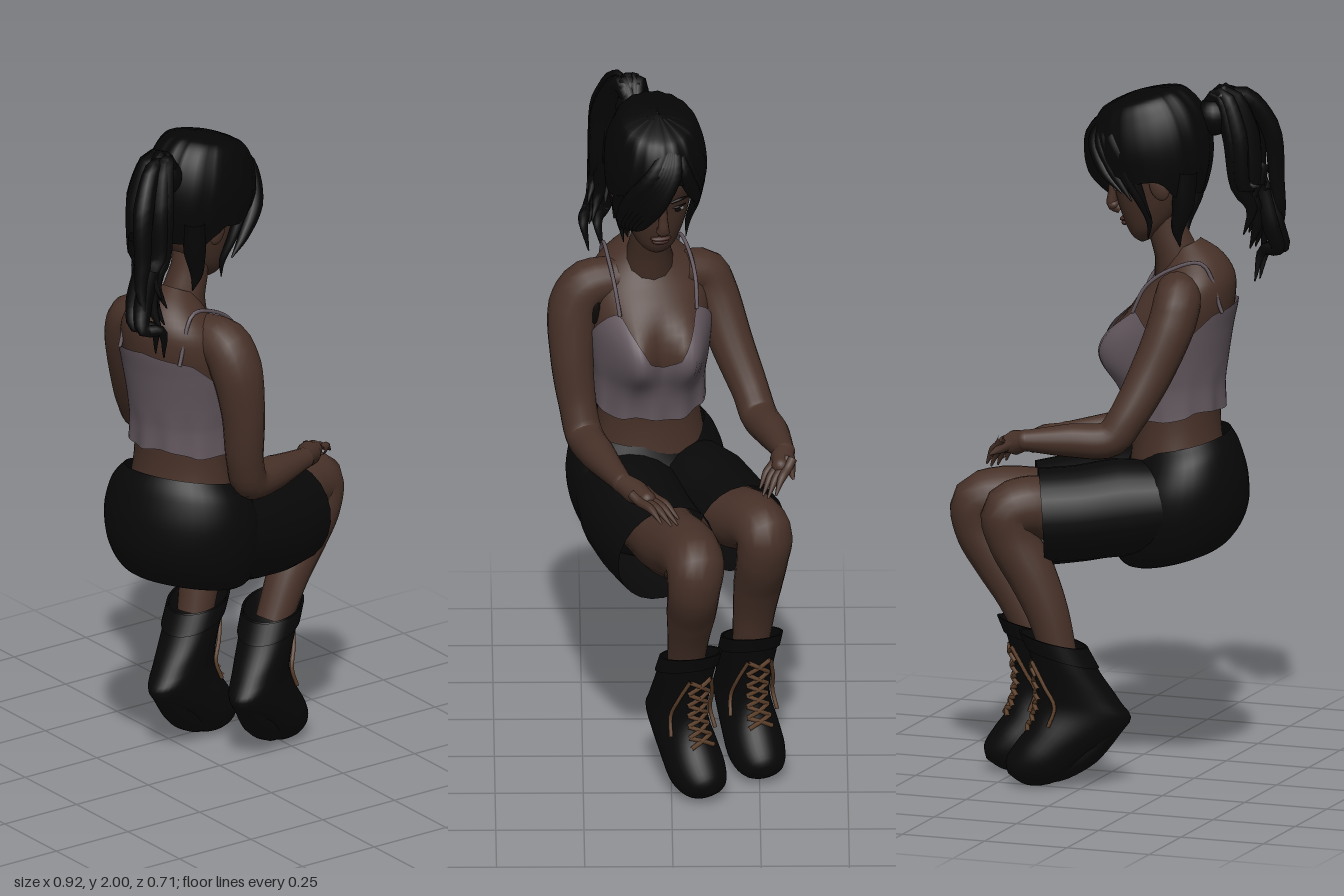
import * as THREE from 'three';

const V = (p) => new THREE.Vector3(...p);
const mat = (name, color, side = THREE.FrontSide) => {
  const m = new THREE.MeshStandardMaterial({ color, side });
  m.name = name;
  return m;
};
const put = (parent, name, geo, material) => {
  const m = new THREE.Mesh(geo, material);
  m.name = name;
  parent.add(m);
  return m;
};
const group = (parent, name, x, y, z, yaw = 0, pitch = 0) => {
  const g = new THREE.Group();
  g.name = name;
  g.position.set(x, y, z);
  g.rotation.set(0, yaw, pitch, 'YXZ');
  parent.add(g);
  return g;
};

// piecewise-linear lookup through [x, y] pairs
const lerpTable = (table, x) => {
  for (let i = 1; i < table.length; i++) {
    const [x0, y0] = table[i - 1], [x1, y1] = table[i];
    if (x <= x1) return y0 + (y1 - y0) * (x - x0) / (x1 - x0);
  }
  return table[table.length - 1][1];
};

// point on a stack of elliptical rings [backX, backY, frontX, frontY, halfWidth]
function ringPoint(rings, v, t, grow = 0, bump = null) {
  const n = rings.length - 1, i = Math.min(Math.floor(v), n - 1), f = v - i;
  const at = (k) => rings[Math.max(0, Math.min(n, k))];
  const r = [0, 1, 2, 3, 4].map((k) => {
    const a = at(i - 1)[k], b = at(i)[k], c = at(i + 1)[k], d = at(i + 2)[k];
    return b + 0.5 * f * (c - a + f * (2 * a - 5 * b + 4 * c - d + f * (3 * (b - c) + d - a)));
  });
  const hx = (r[2] - r[0]) / 2, hy = (r[3] - r[1]) / 2, len = Math.hypot(hx, hy) || 1;
  const s = Math.cos(t) * (1 + grow / len), extra = bump ? bump(v, t) : 0;
  return [(r[0] + r[2]) / 2 + hx * s + extra, (r[1] + r[3]) / 2 + hy * s, (r[4] + grow) * Math.sin(t)];
}

// skin over a ring stack between heights lo(t) and hi(t)
function loft(rings, { lo = () => 0, hi = () => rings.length - 1, grow = () => 0, bump = null, nt = 40, nv = 28 } = {}) {
  const pos = [], idx = [];
  for (let j = 0; j <= nv; j++) for (let i = 0; i < nt; i++) {
    const t = (i / nt) * Math.PI * 2, a = t > Math.PI ? t - Math.PI * 2 : t;
    const v = lo(a) + (hi(a) - lo(a)) * j / nv;
    pos.push(...ringPoint(rings, v, a, grow(v), bump));
    if (j < nv) {
      const p = j * nt + i, q = j * nt + (i + 1) % nt;
      idx.push(p, p + nt, q, q, p + nt, q + nt);
    }
  }
  const g = new THREE.BufferGeometry();
  g.setAttribute('position', new THREE.Float32BufferAttribute(pos, 3));
  g.setIndex(idx);
  g.computeVertexNormals();
  return g;
}

// tube whose radius follows the points [x, y, z, radius]
function taper(pts, segs = 24, sides = 14) {
  const curve = new THREE.CatmullRomCurve3(pts.map((p) => V(p.slice(0, 3))));
  const g = new THREE.TubeGeometry(curve, segs, 1, sides);
  const table = pts.map((p, i) => [i / (pts.length - 1), p[3]]);
  const { position: P, normal: N } = g.attributes;
  for (let i = 0; i < P.count; i++) {
    const u = Math.floor(i / (sides + 1)) / segs;
    const k = lerpTable(table, curve.getUtoTmapping(u)) - 1;
    P.setXYZ(i, P.getX(i) + N.getX(i) * k, P.getY(i) + N.getY(i) * k, P.getZ(i) + N.getZ(i) * k);
  }
  return g;
}
const ball = (p, rx, ry = rx, rz = rx) => new THREE.SphereGeometry(1, 20, 14).scale(rx, ry, rz).translate(...p);

export function createModel() {
  const model = new THREE.Group();
  model.name = 'seatedFigure';
  const skin = mat('skin', 0x473128), hair = mat('hair', 0x050506, THREE.DoubleSide);
  const cloth = mat('camisoleFabric', 0x62575e, THREE.DoubleSide), shortsMat = mat('shortsFabric', 0x080809, THREE.DoubleSide);
  const leather = mat('bootLeather', 0x080707, THREE.DoubleSide), lace = mat('lace', 0x5e412c);
  const lip = mat('lips', 0x40241f), white = mat('eyeWhite', 0x7a716c), dark = mat('darkDetail', 0x0c0807);

  // torso and camisole
  const torso = group(model, 'torso', -0.17, 0, 0.06, 0.24);
  const body = [
    [-0.15, 0.88, 0.13, 0.88, 0.17], [-0.13, 1.0, 0.12, 1.0, 0.148], [-0.13, 1.1, 0.13, 1.1, 0.148],
    [-0.14, 1.2, 0.15, 1.2, 0.16], [-0.155, 1.3, 0.142, 1.3, 0.172], [-0.17, 1.38, 0.112, 1.37, 0.172],
    [-0.168, 1.45, 0.07, 1.42, 0.15], [-0.13, 1.51, 0.04, 1.465, 0.1], [-0.07, 1.55, 0.02, 1.51, 0.05]];
  const bust = (v, t) => 0.068 * Math.exp(-(((Math.abs(t) - 0.5) / 0.38) ** 2) - ((v - 3.3) / 0.95) ** 2);
  put(torso, 'bareTorso', loft(body, { bump: bust, nt: 56 }), skin);
  const neckline = [[0, 3.1], [0.25, 3.3], [0.5, 4.1], [0.65, 4.8], [0.85, 4.6], [1.4, 3.7], [1.8, 3.7], [2.3, 4.7], [3.2, 5.0]];
  put(torso, 'camisole', loft(body, {
    lo: (t) => 1.5 - 0.22 * Math.cos(t) + 0.06 * Math.sin(5 * t), hi: (t) => lerpTable(neckline, Math.abs(t)),
    grow: (v) => 0.01 + 0.008 * Math.max(0, 2.4 - v),
    bump: (v, t) => bust(v, t) + 0.004 * Math.sin(11 * t) * Math.max(0, 3 - v), nt: 72 }), cloth);
  for (const s of [1, -1]) {
    const a = ringPoint(body, 4.7, 0.65 * s, 0.012, bust), b = ringPoint(body, 4.7, 2.5 * s, 0.012);
    put(torso, 'shoulderStrap', taper([[...a, 0.006], [0.07, 1.43, s * 0.118, 0.006], [0, 1.48, s * 0.118, 0.006],
      [-0.09, 1.497, s * 0.112, 0.006], [...b, 0.006]], 24, 6), cloth);
  }
  put(model, 'armpitPatch', ball([-0.1, 1.35, 0.215], 0.016, 0.048, 0.018), dark);
  put(model, 'neck', taper([[-0.19, 1.44, 0.065, 0.085], [-0.17, 1.51, 0.06, 0.062], [-0.145, 1.58, 0.055, 0.054], [-0.12, 1.7, 0.05, 0.06]]), skin);

  // head and face
  const head = group(model, 'head', -0.11, 1.76, 0.045, 0.2, -0.3);
  const skull = [
    [0.06, -0.2, 0.1, -0.205, 0.022], [-0.01, -0.165, 0.122, -0.175, 0.06], [-0.08, -0.1, 0.13, -0.1, 0.09],
    [-0.13, -0.02, 0.128, -0.02, 0.108], [-0.15, 0.06, 0.135, 0.06, 0.115], [-0.14, 0.13, 0.11, 0.13, 0.1],
    [-0.1, 0.18, 0.06, 0.18, 0.07], [-0.02, 0.2, -0.019, 0.2, 0.001]];
  put(head, 'face', loft(skull), skin);
  put(head, 'noseBridge', taper([[0.122, 0, 0, 0.01], [0.138, -0.045, 0, 0.013], [0.148, -0.08, 0, 0.018], [0.13, -0.1, 0, 0.014]], 14, 10), skin);
  put(head, 'noseTip', ball([0.146, -0.082, 0], 0.018, 0.015, 0.02), skin);
  put(head, 'upperLip', ball([0.128, -0.126, 0], 0.012, 0.007, 0.03), lip);
  put(head, 'lowerLip', ball([0.127, -0.138, 0], 0.012, 0.009, 0.025), lip);
  for (const s of [1, -1]) {
    put(head, 'eyeWhite', ball([0.113, -0.03, s * 0.046], 0.008, 0.008, 0.019), white);
    put(head, 'iris', ball([0.119, -0.03, s * 0.045], 0.004, 0.008, 0.009), dark);
    put(head, 'upperLash', taper([[0.12, -0.024, s * 0.022, 0.002], [0.122, -0.018, s * 0.045, 0.004], [0.103, -0.024, s * 0.07, 0.002]], 10, 6), dark);
    put(head, 'eyebrow', taper([[0.13, 0.006, s * 0.02, 0.003], [0.126, 0.014, s * 0.048, 0.005], [0.104, 0.005, s * 0.078, 0.002]], 10, 6), dark);
    put(head, 'ear', ball([-0.02, -0.05, s * 0.108], 0.028, 0.042, 0.014), skin);
  }

  // swept hair, fringe and loose locks
  const hairline = [[0, 4.5], [0.5, 4.2], [0.95, 3.4], [1.3, 3.0], [1.7, 2.9], [2.1, 2.2], [3.2, 1.9]];
  const cap = put(head, 'hairCap', loft(skull, {
    lo: (t) => lerpTable(hairline, Math.abs(t)), grow: (v) => 0.03 * Math.min(1, 7 - v),
    bump: (v, t) => 0.003 * Math.sin(18 * t) - 0.008 * Math.max(0, -Math.cos(t)), nt: 72 }), hair);
  cap.scale.y = 1.09;
  const lock = (name, pts, parent = head) => put(parent, name, taper(pts, 20, 8), hair);
  for (let i = 0; i < 6; i++) {
    const k = i / 5;
    lock('fringe', [[0.05, 0.19, -0.03, 0.015], [0.135, 0.13, -0.02 + 0.05 * k, 0.027], [0.17 - 0.04 * k, 0.03, 0.03 + 0.065 * k, 0.026],
      [0.155 - 0.06 * k, -0.045 - 0.02 * k, 0.065 + 0.045 * k, 0.016], [0.14 - 0.07 * k, -0.08 - 0.05 * k, 0.078 + 0.027 * k, 0.002]]);
  }
  for (let i = 0; i < 4; i++)
    lock('leftFringe', [[0.05, 0.19, -0.03, 0.015], [0.125 - 0.02 * i, 0.12, -0.05 - 0.015 * i, 0.025], [0.12 - 0.025 * i, 0.03, -0.088 - 0.01 * i, 0.02], [0.09 - 0.02 * i, -0.04 - 0.03 * i, -0.108, 0.002]]);
  for (const s of [1, -1]) {
    lock('templeLock', [[0.06, 0.02, s * 0.115, 0.018], [0.045, -0.07, s * 0.112, 0.014], [0.04, -0.14, s * 0.098, 0.009], [0.06, -0.19, s * 0.09, 0.001]]);
    lock('napeLock', [[-0.1, -0.03, s * 0.085, 0.035], [-0.065, -0.12, s * 0.08, 0.032], [-0.025, -0.19, s * 0.07, 0.018], [-0.015, -0.24, s * 0.06, 0.001]]);
  }

  // ponytail of wavy strands
  const tail = group(model, 'ponytail', 0, 0, 0);
  put(tail, 'hairTie', ball([-0.27, 1.9, 0.1], 0.055, 0.055, 0.055), hair);
  let seed = 7;
  const rnd = () => (seed = (seed * 16807) % 2147483647) / 2147483647 - 0.5;
  for (let i = 0; i < 14; i++) {
    const x = rnd() * 0.08, z = rnd() * 0.13, end = 1.5 + (rnd() + 0.4) * 0.22;
    lock('strand', [[-0.23, 1.89, 0.095, 0.02], [-0.31 + x * 0.6, 1.968 + rnd() * 0.02, 0.12 + z * 0.5, 0.022], [-0.365 + x, 1.86, 0.14 + z, 0.03],
      [-0.38 + x, 1.7, 0.155 + z, 0.023], [-0.4 + x * 0.7, end + 0.08, 0.17 + z * 0.8, 0.018], [-0.385 + x, end, 0.18 + z, 0.002]], tail);
  }
  for (const z of [0.17, 0.21])
    lock('curledTip', [[-0.39, 1.68, z, 0.025], [-0.42, 1.57, z, 0.026], [-0.43, 1.51, z + 0.02, 0.02], [-0.38, 1.5, z + 0.035, 0.016], [-0.36, 1.41, z + 0.02, 0.002]], tail);

  // arms and hands
  const arm = (name, pts, wrist, knuckle, tip) => {
    const g = group(model, name, 0, 0, 0);
    put(g, 'arm', taper([...pts, [...wrist, 0.03]], 40, 18), skin);
    put(g, 'wrist', ball(wrist, 0.031), skin);
    put(g, 'palm', taper([[...wrist, 0.029], [...V(wrist).lerp(V(knuckle), 0.55).toArray(), 0.036], [...knuckle, 0.025]], 12), skin);
    put(g, 'knuckles', ball(knuckle, 0.026), skin);
    const dir = V(tip).sub(V(knuckle)), side = dir.clone().cross(V([0, 1, 0])).normalize();
    for (let i = 0; i < 4; i++) {
      const off = side.clone().multiplyScalar((i - 1.5) * 0.017), k = V(knuckle).add(off);
      const e = k.clone().addScaledVector(dir, [0.85, 1, 0.97, 0.8][i]).addScaledVector(off, 0.2);
      const m = k.clone().lerp(e, 0.5).add(V([0, 0.012, 0]));
      const root = k.clone().addScaledVector(dir, -0.3);
      put(g, 'finger', taper([[...root, 0.014], [...k, 0.014], [...m, 0.012], [...e, 0.003]], 14, 8), skin);
    }
    const w = V(wrist), n = V(knuckle);
    const t = [0.3, 0.8, 1.15].map((f, i) => w.clone().lerp(n, f).addScaledVector(side, -0.02 - 0.014 * i).add(V([0, -0.012 * i, 0])));
    put(g, 'thumb', taper([[...t[0], 0.018], [...t[1], 0.014], [...t[2], 0.003]], 12, 8), skin);
  };
  arm('rightArm', [[-0.17, 1.415, 0.15, 0.06], [-0.15, 1.4, 0.235, 0.074], [-0.14, 1.34, 0.272, 0.075], [-0.12, 1.2, 0.28, 0.062],
    [-0.1, 1.04, 0.262, 0.053], [-0.07, 0.97, 0.245, 0.054], [0.04, 0.955, 0.205, 0.05]], [0.19, 0.94, 0.14], [0.275, 0.925, 0.07], [0.36, 0.88, -0.01]);
  arm('leftArm', [[-0.21, 1.415, -0.03, 0.06], [-0.235, 1.4, -0.095, 0.068], [-0.23, 1.34, -0.125, 0.068], [-0.185, 1.2, -0.175, 0.062],
    [-0.13, 1.075, -0.228, 0.053], [-0.09, 1.02, -0.25, 0.053], [0.02, 1.015, -0.288, 0.048]], [0.14, 1.012, -0.32], [0.2, 0.995, -0.31], [0.255, 0.92, -0.265]);

  // shorts
  const hips = group(model, 'hips', -0.17, 0, 0.065, 0.38);
  put(hips, 'shortsSeat', loft([
    [-0.03, 0.63, 0.06, 0.6, 0.05], [-0.14, 0.67, 0.15, 0.61, 0.17], [-0.2, 0.76, 0.19, 0.7, 0.22],
    [-0.205, 0.86, 0.18, 0.81, 0.232], [-0.182, 0.95, 0.14, 0.89, 0.21], [-0.155, 1.0, 0.12, 0.94, 0.172]]), shortsMat);
  const legs = [
    { name: 'right', hem: [[-0.14, 0.79, 0.15, 0.13], [0, 0.77, 0.105, 0.158], [0.12, 0.745, 0.06, 0.155], [0.215, 0.73, 0.015, 0.15]],
      leg: [[0.05, 0.76, 0.06, 0.1], [0.2, 0.762, 0.005, 0.1], [0.31, 0.775, -0.045, 0.094], [0.375, 0.762, -0.065, 0.084],
        [0.375, 0.69, -0.062, 0.075], [0.32, 0.59, -0.055, 0.07], [0.27, 0.5, -0.048, 0.06], [0.215, 0.38, -0.04, 0.052]], boot: [0.205, -0.045, 0.48] },
    { name: 'left', hem: [[-0.19, 0.8, -0.03, 0.12], [-0.06, 0.79, -0.1, 0.14], [0.04, 0.778, -0.155, 0.135], [0.14, 0.772, -0.198, 0.134]],
      leg: [[0, 0.78, -0.13, 0.09], [0.1, 0.79, -0.19, 0.092], [0.165, 0.802, -0.235, 0.087], [0.21, 0.785, -0.262, 0.082],
        [0.2, 0.71, -0.258, 0.074], [0.145, 0.6, -0.245, 0.069], [0.105, 0.5, -0.235, 0.06], [0.075, 0.38, -0.225, 0.052]], boot: [0.07, -0.222, 0.35] }];

  // boots pitched on the toes, with cuffs and laces
  const bootRings = [
    [0.146, 0.03, 0.15, 0.035, 0.004], [0.09, 0.0, 0.155, 0.075, 0.055], [0.01, 0.012, 0.125, 0.125, 0.08], [-0.075, 0.08, 0.088, 0.175, 0.08],
    [-0.195, 0.18, 0.07, 0.235, 0.07], [-0.17, 0.24, 0.072, 0.3, 0.072], [-0.115, 0.32, 0.088, 0.38, 0.078], [-0.07, 0.4, 0.112, 0.445, 0.08]];
  for (const { name, hem, leg, boot } of legs) {
    const g = group(model, name + 'Leg', 0, 0, 0);
    put(g, 'shortsLeg', taper(hem, 20, 24), shortsMat);
    put(g, 'thighAndShin', taper(leg, 44, 20), skin);
    const b = group(g, 'boot', boot[0], 0, boot[1], boot[2]);
    put(b, 'bootUpper', loft(bootRings, { nt: 36 }), leather);
    put(b, 'cuff', loft(bootRings, { lo: () => 6.25, grow: () => 0.007, nt: 36, nv: 6 }), leather);
    put(b, 'sole', taper([[-0.155, 0.195, 0, 0.04], [-0.07, 0.105, 0, 0.05], [0.01, 0.06, 0, 0.05], [0.08, 0.045, 0, 0.04]], 14), leather);
    for (let i = 0; i < 6; i++) for (const s of [1, -1]) {
      const v = 2.75 + i * 0.5;
      const p = [[v, 0.42 * s], [v + 0.25, 0], [v + 0.5, -0.42 * s]].map(([a, t]) => [...ringPoint(bootRings, a, t, 0.005), 0.007]);
      put(b, 'lace', taper(p, 6, 5), lace);
    }
    for (const s of [1, -1])
      put(b, 'looseLace', taper([[5.8, 0.4], [5, 0.75], [4.2, 0.95], [3.4, 1.0]].map(([a, t]) => [...ringPoint(bootRings, a, t * s, 0.008), 0.006]), 14, 5), lace);
  }
  return model;
}
